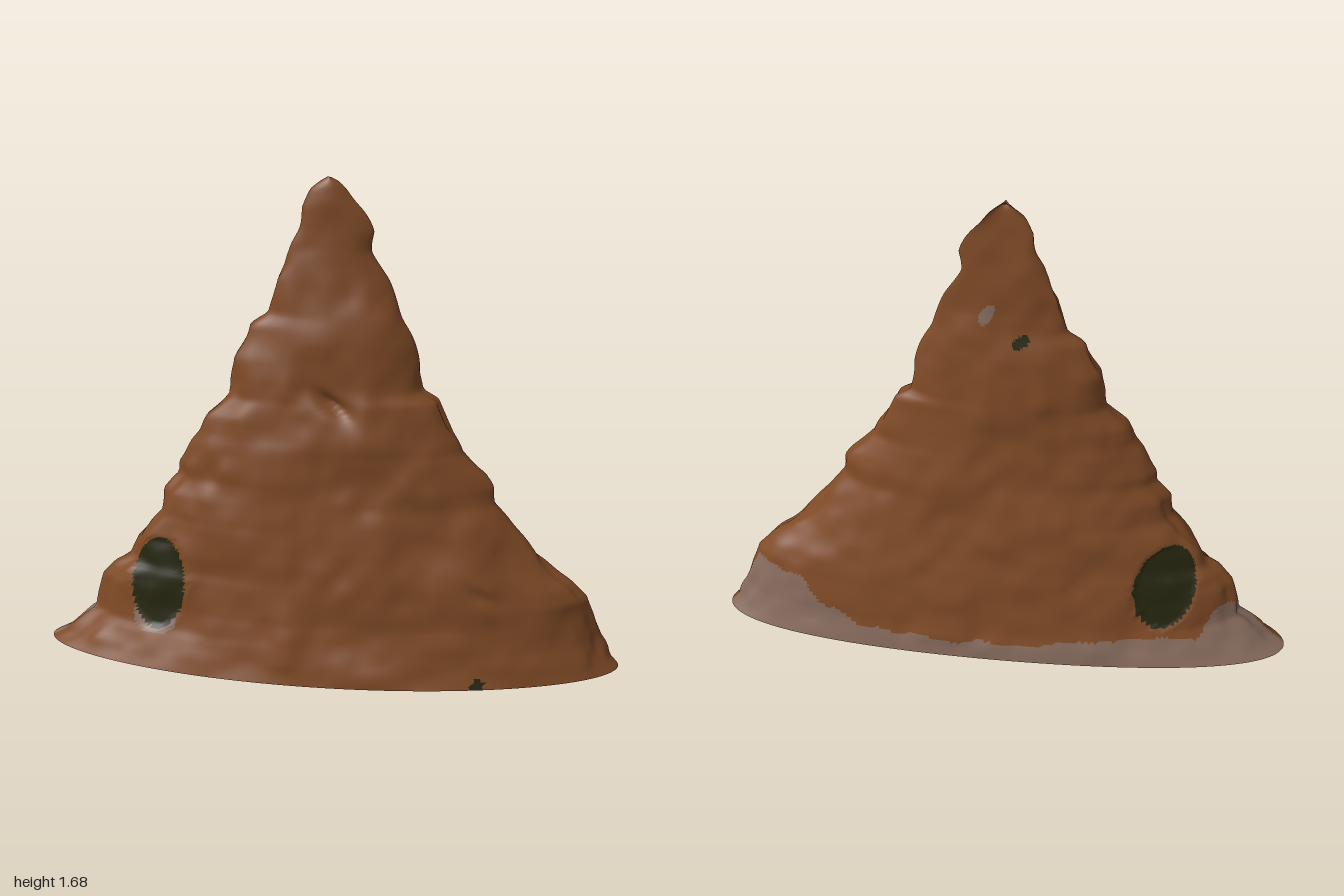
import * as THREE from 'three';

const SEGS = 240, ROWS = 136;

// height, left edge, right edge of the broad silhouette
const OUTLINE = [
  [0, -1, 1], [0.03, -0.945, 0.97], [0.11, -0.85, 0.925], [0.13, -0.82, 0.92], [0.19, -0.81, 0.905],
  [0.26, -0.79, 0.88], [0.31, -0.75, 0.83], [0.34, -0.70, 0.79], [0.40, -0.68, 0.72], [0.44, -0.65, 0.68],
  [0.52, -0.58, 0.62], [0.60, -0.56, 0.56], [0.66, -0.50, 0.55], [0.70, -0.50, 0.52], [0.78, -0.46, 0.44],
  [0.82, -0.43, 0.43], [0.88, -0.41, 0.40], [0.95, -0.34, 0.37], [0.98, -0.33, 0.32], [1.08, -0.32, 0.30],
  [1.19, -0.26, 0.26], [1.23, -0.20, 0.24], [1.35, -0.175, 0.19], [1.44, -0.12, 0.145], [1.51, -0.10, 0.14],
  [1.58, -0.09, 0.10], [1.64, -0.06, 0.06], [1.665, -0.03, 0.035], [1.68, -0.006, 0.006]
];
// height, back edge, front edge of the narrow silhouette
const DEPTH = [
  [0, -0.26, 0.26], [0.1, -0.235, 0.235], [0.2, -0.22, 0.21], [0.4, -0.185, 0.19], [0.6, -0.15, 0.16],
  [0.8, -0.12, 0.14], [1.0, -0.10, 0.10], [1.15, -0.08, 0.085], [1.3, -0.05, 0.065], [1.45, -0.04, 0.045],
  [1.6, -0.015, 0.035], [1.66, -0.005, 0.025], [1.68, 0.008, 0.014]
];

function sample(table, y) {
  let i = 1;
  while (i < table.length - 1 && table[i][0] < y) i++;
  const a = table[i - 1], b = table[i];
  const t = THREE.MathUtils.clamp((y - a[0]) / (b[0] - a[0]), 0, 1);
  return [a[1] + (b[1] - a[1]) * t, a[2] + (b[2] - a[2]) * t];
}

// seeded value noise, -1 to 1
function hash(i, j, k) {
  const s = Math.sin(i * 127.1 + j * 311.7 + k * 74.7) * 43758.5453;
  return (s - Math.floor(s)) * 2 - 1;
}
function noise(x, y, z) {
  const i = Math.floor(x), j = Math.floor(y), k = Math.floor(z);
  const s = t => t * t * (3 - 2 * t), mix = THREE.MathUtils.lerp;
  const u = s(x - i), v = s(y - j), w = s(z - k);
  const edge = (b, c) => mix(hash(i, j + b, k + c), hash(i + 1, j + b, k + c), u);
  return mix(mix(edge(0, 0), edge(1, 0), v), mix(edge(0, 1), edge(1, 1), v), w);
}

// 0 at the centre of a tilted oval, 1 on its rim
function oval(x, y, cx, cy, rx, ry, tilt = 0) {
  const c = Math.cos(tilt), s = Math.sin(tilt), dx = x - cx, dy = y - cy;
  return Math.hypot((dx * c + dy * s) / rx, (dy * c - dx * s) / ry);
}
const bump = d => Math.exp(-d * d * 1.5);
const inBurrow = (x, y, front) => front
  ? oval(x, y, -0.575, 0.285, 0.095, 0.16, -0.12) < 1
  : oval(x, y, -0.565, 0.29, 0.105, 0.155, 0.1) < 1;

// a point on the mound at height y, angle a
function surface(y, a) {
  const [l, r] = sample(OUTLINE, y), [b, f] = sample(DEPTH, y);
  const c = Math.cos(a), s = Math.sin(a), front = s > 0;
  const x0 = (l + r) / 2 + (r - l) / 2 * c;
  const lean = -0.055 * c * c * Math.max(0, 1 - y / 0.6);
  const z0 = 0.01 * c * c * (1 - y) + lean + (front ? f - 0.01 : -b - 0.01) * s;
  const fade = Math.min(1, y / 0.06) * Math.min(1, (1.68 - y) / 0.25 + 0.1);
  const broad = noise(x0 * 6, y * 6, z0 * 8 + 9);
  const fine = noise(x0 * 15 + 5, y * 13, z0 * 22);
  let relief = 0.012 * broad + 0.006 * fine;
  if (front) {
    relief -= 0.035 * bump(oval(x0, y, 0.02, 0.95, 0.07, 0.028, -0.6));
    relief += 0.018 * bump(oval(x0, y, -0.1, 0.16, 0.08, 0.15));
    relief += 0.012 * bump(oval(x0, y, -0.22, 0.67, 0.08, 0.1));
    relief -= 0.02 * bump(oval(x0, y, 0.53, 0.31, 0.06, 0.025, -0.6));
  }
  if (inBurrow(x0, y, front)) relief -= 0.012;
  const crag = noise(z0 * 34, y * 9, c > 0 ? 3.5 : 8.5);
  return new THREE.Vector3(
    x0 + c * c * c * fade * (0.022 * crag + 0.008 * fine),
    y,
    z0 + fade * s * relief + fade * (1 - Math.abs(s)) * 0.012 * broad
  );
}

// top of the pale band along the back foot
const BAND = [[-1, 0.2], [-0.85, 0.17], [-0.74, 0.2], [-0.69, 0.11], [-0.5, 0.12], [-0.35, 0.09], [0, 0.07],
  [0.45, 0.08], [0.6, 0.12], [0.7, 0.21], [0.8, 0.25], [1, 0.27]].map(p => [p[0], p[1], p[1]]);

// material index: 0 earth, 1 pale soil, 2 dark hollow
function paint(p, front) {
  const { x, y, z } = p;
  if (inBurrow(x, y, front)) return 2;
  if (front && oval(x, y, 0.525, 0.015, 0.022, 0.02) < 1) return 2;
  if (front && oval(x, y, -0.59, 0.16, 0.08, 0.05) < 1) return 1;
  if (!front) {
    if (oval(x, y, -0.055, 1.21, 0.032, 0.018, -0.5) < 1) return 2;
    if (oval(x, y, 0.055, 1.3, 0.02, 0.04, 0.5) < 1) return 1;
  }
  const limit = x > 0 ? -0.055 : -0.02 - 0.02 * noise(y * 20, 1, 1);
  if (z < limit && y < sample(BAND, x)[0] + 0.02 * noise(x * 14, 3, 2)) return 1;
  return 0;
}

function moundGeometry() {
  const points = [], faces = [[], [], []];
  for (let j = 0; j <= ROWS; j++)
    for (let i = 0; i < SEGS; i++) points.push(surface(1.68 * j / ROWS, i / SEGS * Math.PI * 2));
  const addFace = (a, b, c, front) => {
    const mid = points[a].clone().add(points[b]).add(points[c]).divideScalar(3);
    faces[paint(mid, front)].push(a, b, c);
  };
  for (let j = 0; j < ROWS; j++)
    for (let i = 0; i < SEGS; i++) {
      const n = (i + 1) % SEGS, front = i < SEGS / 2;
      const a = j * SEGS + i, b = j * SEGS + n;
      addFace(a, a + SEGS, b, front);
      addFace(b, a + SEGS, b + SEGS, front);
    }
  // close the tip
  const tip = ROWS * SEGS;
  for (let i = 1; i < SEGS - 1; i++) faces[0].push(tip, tip + i + 1, tip + i);
  const geometry = new THREE.BufferGeometry().setFromPoints(points);
  geometry.setIndex(faces.flat());
  let start = 0;
  faces.forEach((list, m) => { geometry.addGroup(start, list.length, m); start += list.length; });
  geometry.computeVertexNormals();
  return geometry;
}

// a flat downward-facing plate from x, z points
function underside(points, material, name, y) {
  const geometry = new THREE.ShapeGeometry(new THREE.Shape(points.map(p => new THREE.Vector2(p[0], p[1]))));
  geometry.rotateX(Math.PI / 2);
  const mesh = new THREE.Mesh(geometry, material);
  mesh.name = name;
  mesh.position.y = y;
  return mesh;
}

export function createModel() {
  const make = (name, color) => {
    const m = new THREE.MeshStandardMaterial({ color });
    m.name = name;
    return m;
  };
  const earth = make('earth', 0x7f4a26);
  const pale = make('paleSoil', 0x866a5c);
  const dark = make('darkHollow', 0x25260f);

  const model = new THREE.Group();
  model.name = 'earthMound';
  const mound = new THREE.Mesh(moundGeometry(), [earth, pale, dark]);
  mound.name = 'mound';
  model.add(mound);

  // foot of the mound, with a pale end and a long dark hollow
  const foot = [];
  for (let i = 0; i < 96; i++) {
    const p = surface(0, i / 96 * Math.PI * 2);
    foot.push([p.x, p.z]);
  }
  model.add(underside(foot, earth, 'footPlate', 0.004));
  model.add(underside([[-0.97, -0.05], [-0.8, -0.15], [-0.5, -0.08], [-0.3, 0], [-0.6, 0.06]], pale, 'paleFootPatch', 0.002));
  model.add(underside([[0.24, -0.23], [0.22, -0.19], [0, -0.14], [-0.3, -0.11], [-0.52, -0.09], [-0.52, -0.13],
    [-0.3, -0.16], [0, -0.18], [0.1, -0.22]], dark, 'darkFootHollow', 0.001));
  return model;
}
